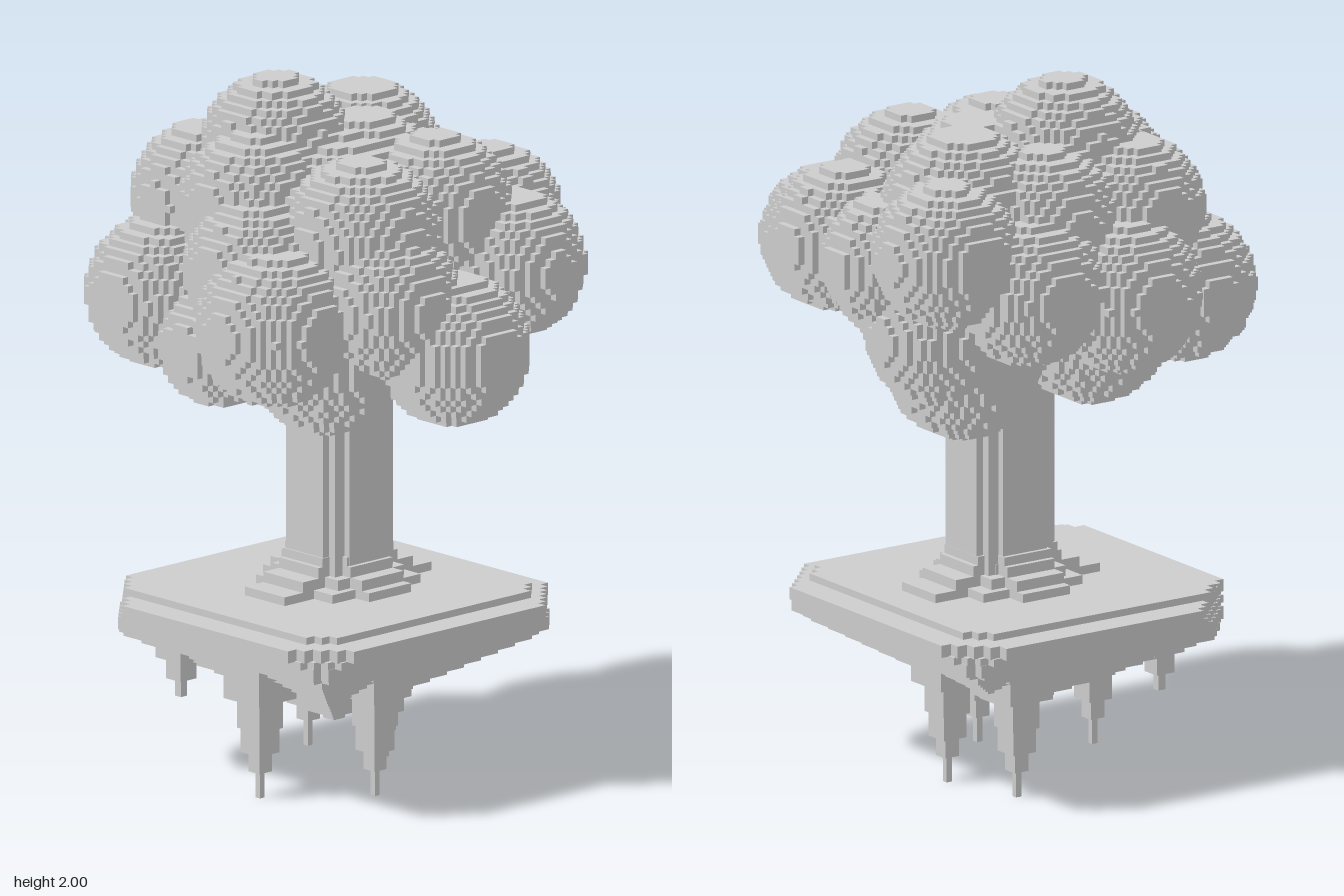
import * as THREE from 'three';

const V = 0.02; // voxel edge

// Leaf clusters: x, y, z, radius
const CLUSTERS = [
  [-0.16, 1.795, 0.09, 0.205], [-0.19, 1.69, -0.27, 0.22], [-0.32, 1.66, -0.09, 0.20],
  [-0.02, 1.69, -0.11, 0.20], [0.22, 1.65, -0.16, 0.21], [0.24, 1.62, 0.14, 0.22],
  [0.14, 1.56, -0.44, 0.20], [-0.09, 1.55, -0.46, 0.18], [-0.35, 1.62, -0.44, 0.20],
  [0.36, 1.49, -0.32, 0.20], [0.46, 1.32, 0, 0.21], [-0.45, 1.45, 0.08, 0.22],
  [-0.42, 1.50, -0.21, 0.21], [-0.33, 1.40, 0.36, 0.21], [-0.33, 1.65, 0.20, 0.20],
  [-0.08, 1.67, 0.24, 0.21], [0.04, 1.53, 0.35, 0.20], [-0.07, 1.30, 0.38, 0.17],
  [0.19, 1.41, 0.42, 0.22], [0.20, 1.29, 0.24, 0.21], [0.35, 1.46, 0.16, 0.21],
  [-0.16, 1.235, -0.25, 0.21], [-0.20, 1.35, -0.36, 0.20], [-0.28, 1.31, 0.10, 0.21],
];
const CORE = [-0.02, 1.5, 0, 0.36];

// Surface quads of a voxelised union of balls
function voxelBalls(balls) {
  const N = [72, 54, 72];
  const min = [-0.72, 0.98, -0.72];
  const grid = new Uint8Array(N[0] * N[1] * N[2]);
  const at = (i, j, k) => (k * N[1] + j) * N[0] + i;
  for (let k = 0; k < N[2]; k++) for (let j = 0; j < N[1]; j++) for (let i = 0; i < N[0]; i++) {
    const p = [i, j, k].map((n, a) => min[a] + (n + 0.5) * V);
    if (balls.some(([x, y, z, r]) => (p[0] - x) ** 2 + (p[1] - y) ** 2 + (p[2] - z) ** 2 < r * r)) grid[at(i, j, k)] = 1;
  }
  const filled = (c) => c.every((n, a) => n >= 0 && n < N[a]) && grid[at(...c)];
  const pos = [], nor = [], idx = [];
  for (let k = 0; k < N[2]; k++) for (let j = 0; j < N[1]; j++) for (let i = 0; i < N[0]; i++) {
    if (!grid[at(i, j, k)]) continue;
    for (let a = 0; a < 3; a++) for (const s of [1, -1]) {
      const next = [i, j, k];
      next[a] += s;
      if (filled(next)) continue;
      const u = (a + 1) % 3, w = (a + 2) % 3, base = pos.length / 3;
      const n = [0, 0, 0];
      n[a] = s;
      for (const [du, dw] of [[0, 0], [1, 0], [1, 1], [0, 1]]) {
        const c = [i, j, k];
        c[a] += s > 0 ? 1 : 0;
        c[u] += du;
        c[w] += dw;
        pos.push(...c.map((m, b) => min[b] + m * V));
        nor.push(...n);
      }
      const q = s > 0 ? [0, 1, 2, 0, 2, 3] : [0, 2, 1, 0, 3, 2];
      idx.push(...q.map((m) => base + m));
    }
  }
  const g = new THREE.BufferGeometry();
  g.setAttribute('position', new THREE.Float32BufferAttribute(pos, 3));
  g.setAttribute('normal', new THREE.Float32BufferAttribute(nor, 3));
  g.setIndex(idx);
  return g;
}

// Square slab whose corners are cut in small stairs.
// cuts: (+x,-z), (-x,-z), (-x,+z), (+x,+z)
function stairSlab(h, cuts, thickness) {
  const pts = [];
  cuts.forEach((cut, q) => {
    const n = Math.max(1, Math.round(cut / 0.03));
    const s = cut / n;
    for (let i = 0; i <= n; i++) {
      const a = h - i * s, b = h - cut + i * s;
      const corner = i < n ? [[a, b], [a - s, b]] : [[a, b]];
      for (const [x, y] of corner) {
        pts.push(new THREE.Vector2(x, y).rotateAround(new THREE.Vector2(), q * Math.PI / 2));
      }
    }
  });
  const g = new THREE.ExtrudeGeometry(new THREE.Shape(pts), { depth: thickness, bevelEnabled: false });
  return g.rotateX(-Math.PI / 2);
}

export function createModel() {
  const model = new THREE.Group();
  const grey = new THREE.MeshStandardMaterial({ color: 0xcccccc });
  grey.name = 'light grey';

  const part = (name) => {
    const g = new THREE.Group();
    g.name = name;
    model.add(g);
    return g;
  };
  // Box from centre x/z, half widths and a height range
  const block = (parent, name, x, z, hx, hz, y0, y1) => {
    const m = new THREE.Mesh(new THREE.BoxGeometry(hx * 2, y1 - y0, hz * 2), grey);
    m.position.set(x, (y0 + y1) / 2, z);
    m.name = name;
    parent.add(m);
  };

  // Crown of leaf clusters
  const crown = new THREE.Mesh(voxelBalls([CORE, ...CLUSTERS]), grey);
  crown.name = 'crown';
  model.add(crown);

  // Trunk with stepped corners
  const trunk = part('trunk');
  for (const [hx, hz] of [[0.12, 0.075], [0.1, 0.11], [0.075, 0.132]]) {
    block(trunk, 'trunkCore', -0.043, -0.042, hx, hz, 0.53, 1.35);
  }

  // Root flare: arms shrinking upward
  const flare = part('rootFlare');
  const steps = [[0.215, 0.28, 0.54, 0.565], [0.185, 0.21, 0.565, 0.595], [0.14, 0.15, 0.595, 0.625], [0.125, 0.135, 0.625, 0.65]];
  for (const [hx, hz, y0, y1] of steps) {
    block(flare, 'flareArmX', -0.05, -0.04, hx, 0.08, y0, y1);
    block(flare, 'flareArmZ', -0.045, -0.04, 0.08, hz, y0, y1);
    block(flare, 'flareCentre', -0.045, -0.04, hx * 0.72, hz * 0.6, y0, y1);
  }

  // Platform layers with uneven stair-cut corners
  const platform = part('platform');
  const cx = -0.045;
  const layers = [
    ['topPlate', 0.43, [0.06, 0.06, 0.06, 0.06], 0.515, 0.54],
    ['rim', 0.515, [0.17, 0.13, 0.23, 0.13], 0.485, 0.52],
    ['lowerRim', 0.49, [0.12, 0.08, 0.17, 0.08], 0.465, 0.487],
    ['underRim', 0.465, [0.06, 0.03, 0.11, 0.03], 0.43, 0.467],
    ['underRim', 0.43, [0.03, 0.03, 0.04, 0.03], 0.41, 0.432],
  ];
  for (const [name, h, cuts, y0, y1] of layers) {
    const m = new THREE.Mesh(stairSlab(h, cuts, y1 - y0), grey);
    m.position.set(cx, y0, 0);
    m.name = name;
    platform.add(m);
  }

  // Inverted stepped pyramid below
  const pyramid = part('underside');
  for (let i = 0; i < 12; i++) {
    const y = 0.165 + i * 0.0205;
    const h = 0.022 + i * 0.0345;
    block(pyramid, 'undersideStep', cx + 0.025 * (1 - i / 11), 0, h, h, y, y + 0.021);
  }

  // Hanging stepped roots: half width and height range of each level
  const roots = part('hangingRoots');
  const levels = [[0.085, 0.355, 0.43], [0.072, 0.285, 0.36], [0.045, 0.2, 0.29], [0.038, 0.13, 0.21], [0.023, 0.075, 0.135], [0.009, 0, 0.08]];
  for (const [x, z] of [[0.015, 0.315], [0.215, 0.065], [-0.07, -0.24], [-0.305, -0.17]]) {
    for (const [h, y0, y1] of levels) block(roots, 'hangingRoot', x, z, h, h, y0, y1);
  }
  for (const [h, y0, y1] of [[0.05, 0.34, 0.43], [0.03, 0.28, 0.35], [0.012, 0.23, 0.29]]) {
    block(roots, 'shortRoot', -0.305, 0.315, h, h, y0, y1);
  }
  return model;
}
